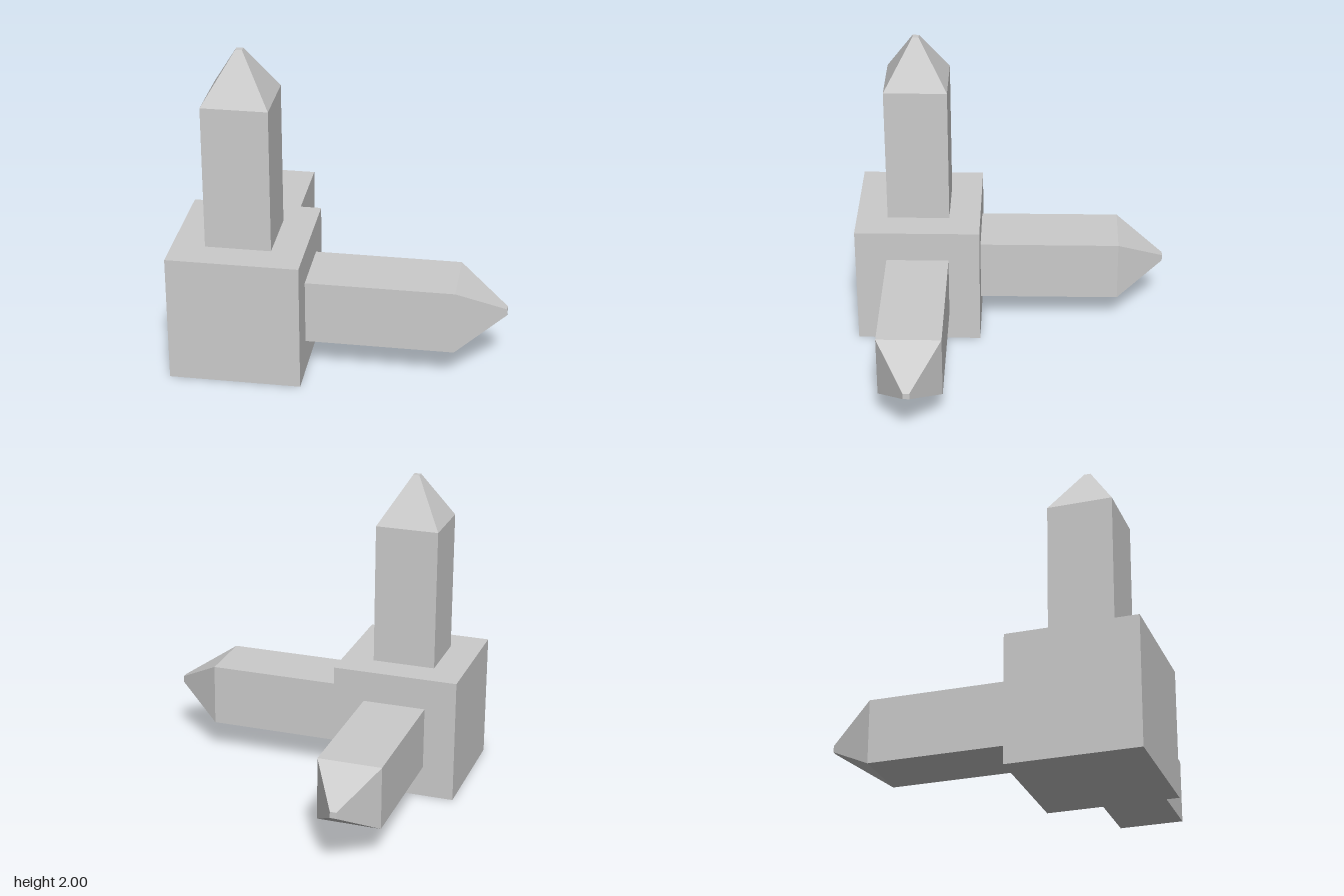
import * as THREE from 'three';

const material = new THREE.MeshStandardMaterial({ color: 0xcccccc, flatShading: true });

function addMesh(parent, name, geometry, y = 0) {
  const mesh = new THREE.Mesh(geometry, material);
  mesh.name = name;
  mesh.position.y = y;
  parent.add(mesh);
}

// Square bar with a blunt pyramid tip, pointing along +y from the block's centre
function createArm(name) {
  const arm = new THREE.Group();
  arm.name = name;
  addMesh(arm, name + 'Bar', new THREE.BoxGeometry(0.4, 0.9, 0.4), 0.85);
  const tip = new THREE.CylinderGeometry(0.02 * Math.SQRT2, 0.2 * Math.SQRT2, 0.3, 4);
  tip.rotateY(Math.PI / 4);
  addMesh(arm, name + 'Tip', tip, 1.45);
  return arm;
}

export function createModel() {
  const model = new THREE.Group();
  model.name = 'threeArmedBlock';

  // Everything is arranged around the centre of the corner block
  const hub = new THREE.Group();
  hub.name = 'hub';
  hub.position.set(-0.6, 0.4, 0.6);
  model.add(hub);

  addMesh(hub, 'cornerBlock', new THREE.BoxGeometry(0.8, 0.8, 0.8));

  // Three perpendicular arms: up, left (+x) and back (-z)
  const upArm = createArm('upArm');
  const leftArm = createArm('leftArm');
  leftArm.rotation.z = -Math.PI / 2;
  const backArm = createArm('backArm');
  backArm.rotation.x = -Math.PI / 2;
  hub.add(upArm, leftArm, backArm);

  return model;
}
